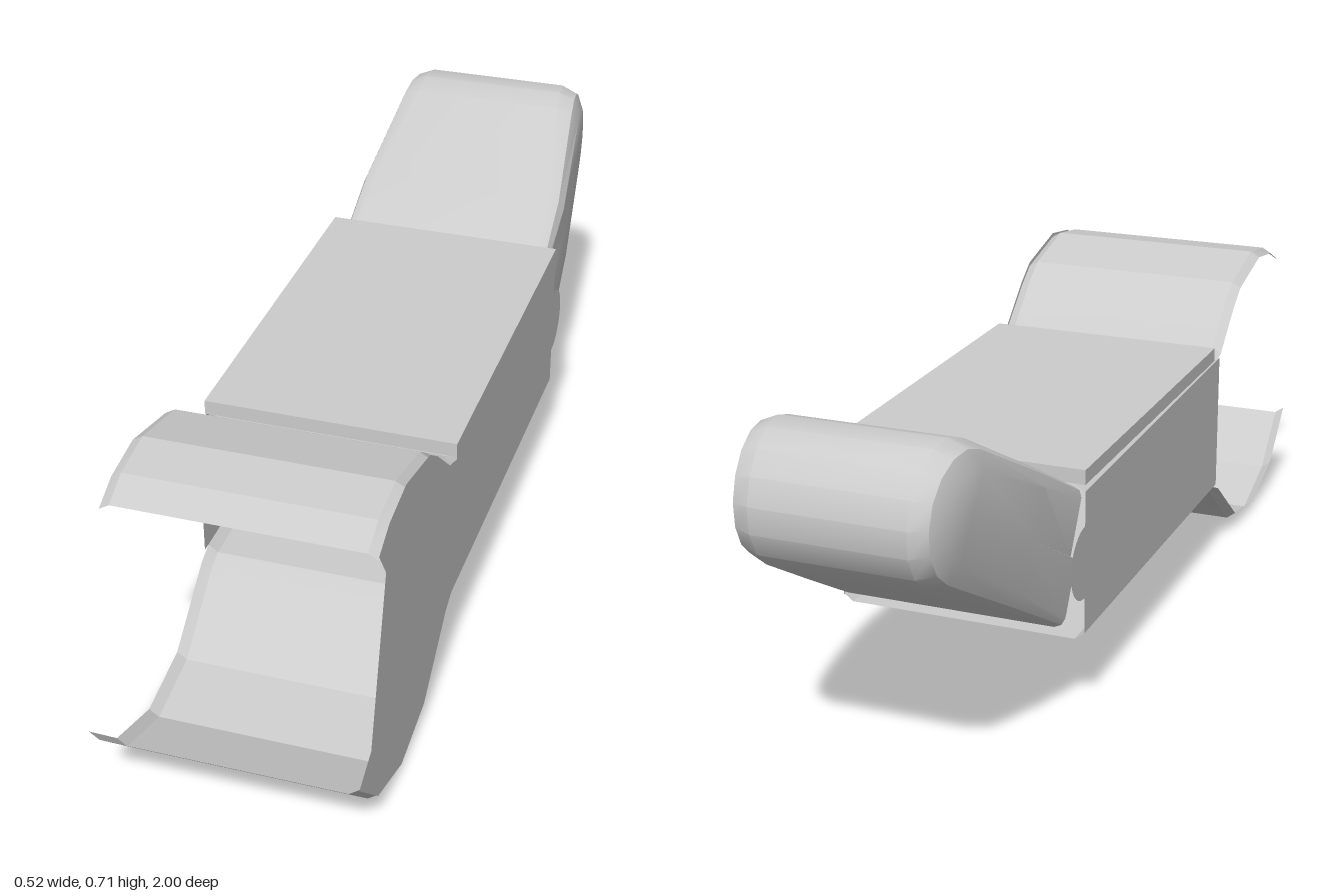
import * as THREE from 'three';
import { toCreasedNormals } from 'three/addons/utils/BufferGeometryUtils.js';

const material = new THREE.MeshStandardMaterial({ color: 0xcccccc, side: THREE.DoubleSide });

// Side profiles as [z, y], front to back
const TOP = [[0.88, 0.61], [0.82, 0.64], [0.72, 0.655], [0.57, 0.62], [0.52, 0.585], [0.43, 0.505], [0.38, 0.487], [-0.44, 0.487]];
const BOTTOM = [[1, 0.165], [0.89, 0.055], [0.74, 0.003], [0.59, 0.03], [0.44, 0.148], [0.4, 0.165], [-0.44, 0.165]];

// Skin through rows of points, all rows having the same length
function skin(rows, crease) {
  const n = rows[0].length;
  const index = [];
  for (let i = 0; i < rows.length - 1; i++) {
    for (let j = 0; j < n - 1; j++) {
      const a = i * n + j, b = a + 1, c = a + n, d = c + 1;
      index.push(a, c, b, b, c, d);
    }
  }
  const geometry = new THREE.BufferGeometry();
  geometry.setAttribute('position', new THREE.Float32BufferAttribute(rows.flat(2), 3));
  geometry.setIndex(index);
  return toCreasedNormals(geometry, crease);
}

// Strip across the width with a small chamfer at both sides
function strip(profile, chamfer) {
  return skin(profile.map(([z, y]) => [
    [0.26, y + chamfer, z], [0.24, y, z], [-0.24, y, z], [-0.26, y + chamfer, z],
  ]), 0.3);
}

// Flat side wall: outline in (z, y), with the round hinge ear at the back
function wall(x, frontUpper, frontLower) {
  const shape = new THREE.Shape();
  shape.moveTo(...frontUpper[0]);
  frontUpper.slice(1).forEach((p) => shape.lineTo(...p));
  shape.lineTo(-0.44, 0.405);
  shape.absarc(-0.44, 0.33, 0.075, Math.PI / 2, Math.PI * 1.4, false);
  shape.lineTo(-0.44, 0.255);
  frontLower.forEach((p) => shape.lineTo(...p));
  return new THREE.ShapeGeometry(shape, 12).rotateY(-Math.PI / 2).translate(x, 0, 0);
}

// Hollow tip: a tilted capsule profile with rounded side edges, open at the front
function tipGeometry() {
  const cz = -0.865, cy = 0.575, r = 0.135;
  const dir = [-0.87, 0.493], up = [0.493, 0.87];
  const rows = [];
  const addRow = (t, angle, edge) => {
    const n = [up[0] * Math.cos(angle) + dir[0] * Math.sin(angle), up[1] * Math.cos(angle) + dir[1] * Math.sin(angle)];
    const m = [cz + dir[0] * t, cy + dir[1] * t];
    const at = (inset, sideInset, s) => {
      const z = m[0] + n[0] * (r - inset), y = m[1] + n[1] * (r - inset);
      const w = 0.24 - 0.04 * THREE.MathUtils.clamp((-0.6 - z) / 0.38, 0, 1);
      return [s * (w - sideInset), y, z];
    };
    const half = (s) => [at(r, 0, s), at(edge, 0, s), at(edge * 0.3, edge * 0.3, s), at(0, edge, s)];
    rows.push([...half(1), ...half(-1).reverse()]);
  };
  addRow(-0.46, 0, 0.02);
  addRow(-0.25, 0, 0.035);
  for (let i = 0; i <= 8; i++) addRow(0, i * Math.PI / 8, 0.05);
  addRow(-0.25, Math.PI, 0.035);
  addRow(-0.495, Math.PI, 0.02);
  return skin(rows, 0.45);
}

export function createModel() {
  const group = new THREE.Group();
  const add = (name, geometry) => {
    const mesh = new THREE.Mesh(geometry, material);
    mesh.name = name;
    group.add(mesh);
    return mesh;
  };

  // Hollow sleeve with flared lips at the front
  add('upperSkin', strip(TOP, -0.012));
  add('lowerSkin', strip(BOTTOM, 0.015));

  // Raised plate on top of the sleeve
  add('topPlate', new THREE.BoxGeometry(0.52, 0.03, 0.82)).position.set(0, 0.504, -0.03);

  // One wall fills the flare, the other stops at the sleeve
  const flareTop = TOP.slice(0, -1).map(([z, y]) => [z, y - 0.003]);
  const flareBottom = BOTTOM.map(([z, y]) => [z, y + 0.012]).reverse();
  add('leftWall', wall(0.26,
    [[0.84, 0.545], ...flareTop, [0.38, 0.519], [-0.44, 0.519]],
    [...flareBottom, [0.93, 0.21]]));
  add('rightWall', wall(-0.26,
    [[0.42, 0.485], [-0.44, 0.475]],
    [[-0.44, 0.18], [0.42, 0.18]]));

  // Bent, rounded end piece
  add('tip', tipGeometry());
  return group;
}
